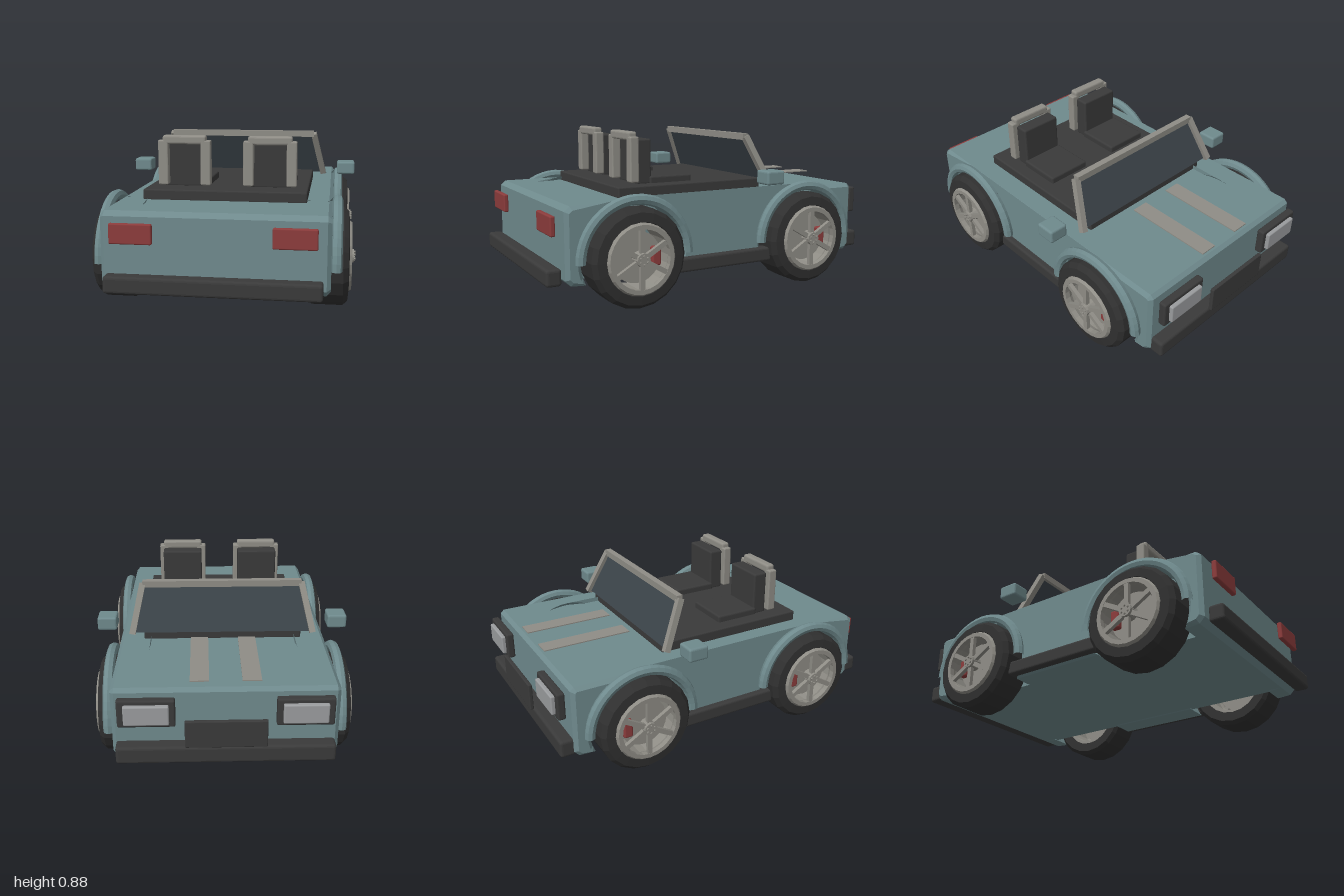
import * as THREE from 'three';
import { RoundedBoxGeometry } from 'three/addons/geometries/RoundedBoxGeometry.js';

const mat = (color, extra = {}) => new THREE.MeshStandardMaterial({ color, ...extra });
const TEAL = mat(0x6f8a8d, { flatShading: true });
const DARK = mat(0x3a3a3a, { flatShading: true });
const TYRE = mat(0x303030, { flatShading: true });
const METAL = mat(0x8f8d86, { flatShading: true });
const RED = mat(0x8c3c3c);
const GLASS = mat(0x3c444a, { side: THREE.DoubleSide });
const LENS = mat(0x9a9c9e);

const AXLES = [0.545, -0.525];
const WHEEL_Y = 0.26;

function add(parent, name, geometry, material, x = 0, y = 0, z = 0) {
  const mesh = new THREE.Mesh(geometry, material);
  mesh.name = name;
  mesh.position.set(x, y, z);
  parent.add(mesh);
  return mesh;
}

// Bevelled box given by its extents on each axis
function block(parent, name, material, [x0, x1], [y0, y1], [z0, z1], bevel = 0.01) {
  const w = x1 - x0, h = y1 - y0, d = z1 - z0;
  const geo = new RoundedBoxGeometry(w, h, d, 2, Math.min(bevel, w * 0.45, h * 0.45, d * 0.45));
  return add(parent, name, geo, material, (x0 + x1) / 2, (y0 + y1) / 2, (z0 + z1) / 2);
}

// Square bar between two points
function bar(parent, name, material, a, b, size) {
  const from = new THREE.Vector3(...a), to = new THREE.Vector3(...b);
  const mesh = add(parent, name, new THREE.BoxGeometry(size, from.distanceTo(to), size), material);
  mesh.position.copy(from).add(to).multiplyScalar(0.5);
  mesh.quaternion.setFromUnitVectors(new THREE.Vector3(0, 1, 0), to.sub(from).normalize());
  return mesh;
}

// Side outline of the body; shape x runs along z, optionally cut by wheel openings
function sideShape(openings) {
  const s = new THREE.Shape();
  const bottom = 0.135, r = 0.285;
  s.moveTo(0.88, 0.14);
  if (openings) {
    const dy = WHEEL_Y - bottom, dz = Math.sqrt(r * r - dy * dy), a = Math.asin(dy / r);
    for (const z of AXLES) {
      s.lineTo(z + dz, bottom);
      s.absarc(z, WHEEL_Y, r, -a, Math.PI + a, false);
    }
  }
  s.lineTo(-0.87, 0.14);
  s.lineTo(-0.9, 0.17);
  s.lineTo(-0.9, 0.52);
  s.lineTo(-0.88, 0.54);
  s.lineTo(0.88, 0.54);
  s.lineTo(0.91, 0.515);
  s.lineTo(0.91, 0.17);
  return s;
}

// Extrude a (z, y) shape across the car from x0 to x1
function extrudeAcross(shape, x0, x1, bevel) {
  const geo = new THREE.ExtrudeGeometry(shape, {
    depth: x1 - x0 - 2 * bevel, curveSegments: 14, bevelEnabled: bevel > 0,
    bevelSize: bevel, bevelThickness: bevel, bevelOffset: -bevel, bevelSegments: 1,
  });
  geo.rotateY(-Math.PI / 2);
  geo.translate(x1 - bevel, 0, 0);
  return geo;
}

// Wheel with its outer face towards +x, centred on the axle
function makeWheel() {
  const wheel = new THREE.Group();
  const v = (r, x) => new THREE.Vector2(r, x);
  const lathe = (pts, segs) => new THREE.LatheGeometry(pts, segs).rotateZ(-Math.PI / 2);

  add(wheel, 'tyre', lathe([v(0.19, -0.1), v(0.24, -0.105), v(0.26, -0.085), v(0.26, 0.075),
    v(0.238, 0.1), v(0.19, 0.105), v(0.185, 0.09), v(0.185, -0.1), v(0.19, -0.1)], 20), TYRE);
  add(wheel, 'rim', lathe([v(0.165, -0.09), v(0.187, -0.09), v(0.187, 0.105), v(0.178, 0.118),
    v(0.155, 0.118), v(0.155, 0.09), v(0.165, 0.07), v(0.165, -0.09)], 24), METAL);
  const disc = add(wheel, 'brakeDisc', new THREE.CylinderGeometry(0.135, 0.135, 0.02, 24), METAL, 0.035);
  disc.rotation.z = Math.PI / 2;
  block(wheel, 'brakeCaliper', RED, [0.03, 0.075], [-0.05, 0.05], [-0.125, -0.075]);
  const hub = add(wheel, 'hub', new THREE.CylinderGeometry(0.036, 0.04, 0.06, 12), METAL, 0.1);
  hub.rotation.z = -Math.PI / 2;
  for (let i = 0; i < 6; i++) {
    const a = (i * Math.PI) / 3;
    const spoke = add(wheel, 'spoke', new THREE.BoxGeometry(0.022, 0.145, 0.026), METAL,
      0.105, Math.cos(a) * 0.095, Math.sin(a) * 0.095);
    spoke.rotation.x = a;
    const bolt = add(wheel, 'wheelBolt', new THREE.CylinderGeometry(0.006, 0.006, 0.012, 6), METAL,
      0.132, Math.cos(a) * 0.022, Math.sin(a) * 0.022);
    bolt.rotation.z = Math.PI / 2;
  }
  return wheel;
}

function makeSeat() {
  const seat = new THREE.Group();
  seat.name = 'seat';
  block(seat, 'seatCushion', DARK, [-0.13, 0.13], [0.585, 0.632], [0.088, 0.345]);
  block(seat, 'seatBack', DARK, [-0.12, 0.12], [0.59, 0.835], [0.332, 0.415]);
  for (const s of [-1, 1]) {
    block(seat, 'rollHoopPost', METAL, [s * 0.117 - 0.028, s * 0.117 + 0.028], [0.605, 0.85], [0.417, 0.468], 0.008);
  }
  block(seat, 'rollHoopBar', METAL, [-0.12, 0.12], [0.828, 0.876], [0.417, 0.468], 0.012);
  return seat;
}

export function createModel() {
  const car = new THREE.Group();
  car.name = 'roadster';

  // Body: solid core plus bevelled flanks with wheel openings
  add(car, 'bodyCore', extrudeAcross(sideShape(false), -0.44, 0.44, 0), TEAL);
  add(car, 'leftFlank', extrudeAcross(sideShape(true), 0.4, 0.575, 0.02), TEAL);
  add(car, 'rightFlank', extrudeAcross(sideShape(true), -0.575, -0.4, 0.02), TEAL);
  block(car, 'cockpitFloor', DARK, [-0.44, 0.44], [0.535, 0.595], [-0.32, 0.567], 0.008);

  // Windscreen: glass, header bar and raked posts
  const glass = new THREE.BufferGeometry();
  glass.setAttribute('position', new THREE.Float32BufferAttribute([
    -0.49, 0.58, -0.325, 0.49, 0.58, -0.325, 0.435, 0.83, -0.212, -0.435, 0.83, -0.212], 3));
  glass.setIndex([0, 1, 2, 0, 2, 3]);
  glass.computeVertexNormals();
  add(car, 'windscreenGlass', glass, GLASS);
  bar(car, 'windscreenHeader', METAL, [-0.445, 0.833, -0.217], [0.445, 0.833, -0.217], 0.036);

  // Bumpers and front plate
  block(car, 'rearBumper', DARK, [-0.54, 0.54], [0.142, 0.23], [0.92, 1], 0.015);
  block(car, 'frontBumper', DARK, [-0.555, 0.555], [0.15, 0.245], [-0.97, -0.885], 0.015);
  block(car, 'grille', DARK, [-0.205, 0.205], [0.262, 0.412], [-1, -0.978], 0.006);

  for (const s of [-1, 1]) {
    const mx = (a, b) => (s > 0 ? [a, b] : [-b, -a]);
    bar(car, 'windscreenPost', METAL, [s * 0.505, 0.575, -0.335], [s * 0.445, 0.835, -0.215], 0.034);
    const seat = makeSeat();
    seat.position.x = s * 0.234;
    car.add(seat);

    add(car, 'bonnetStripe', new THREE.BoxGeometry(0.096, 0.006, 0.5), METAL, s * 0.13, 0.575, -0.637);
    block(car, 'doorMirror', TEAL, mx(0.592, 0.7), [0.586, 0.662], [-0.305, -0.192], 0.012);
    block(car, 'sill', DARK, mx(0.54, 0.61), [0.145, 0.222], [-0.29, 0.31], 0.012);
    block(car, 'tailLight', RED, mx(0.295, 0.512), [0.386, 0.49], [0.938, 0.965], 0.008);
    block(car, 'headlightHousing', DARK, mx(0.25, 0.538), [0.36, 0.51], [-0.963, -0.92], 0.01);
    block(car, 'headlightLens', LENS, mx(0.28, 0.505), [0.382, 0.488], [-0.984, -0.955], 0.008);

    for (const z of AXLES) {
      const wheel = makeWheel();
      wheel.name = z > 0 ? 'rearWheel' : 'frontWheel';
      wheel.position.set(s * 0.56, WHEEL_Y, z);
      // Mirror across the car while keeping the caliper ahead of the axle
      wheel.scale.x = s;
      car.add(wheel);
      const arch = add(car, 'wheelArch', new THREE.TorusGeometry(0.3, 0.028, 8, 24, Math.PI), TEAL, s * 0.6, WHEEL_Y - 0.005, z);
      arch.rotation.y = Math.PI / 2;
    }
  }
  return car;
}
